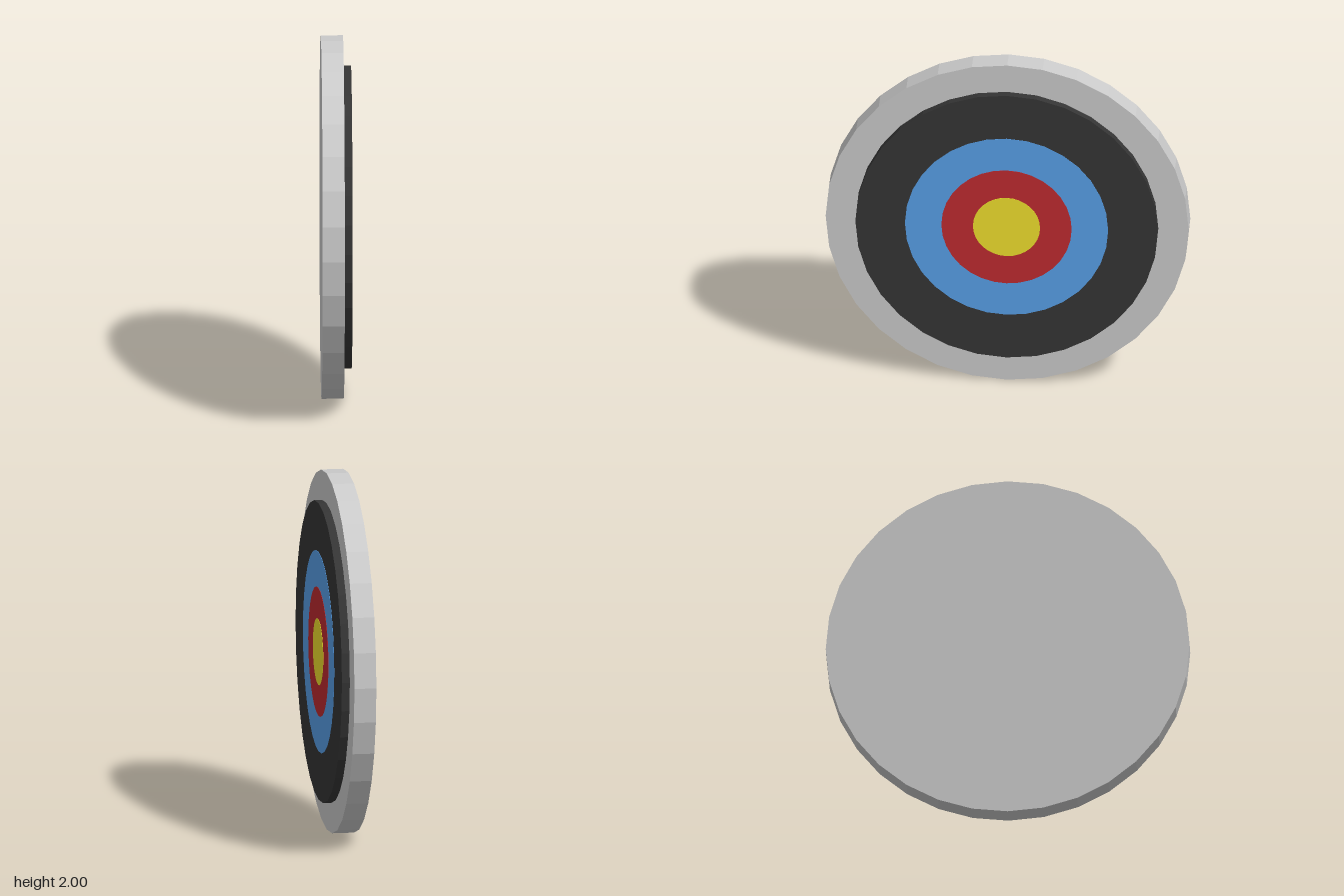
import * as THREE from 'three';

const BACK = -0.085;

// Flat-shaded 32-sided disc facing +x, spanning x0..x1
function disc(name, radius, x0, x1, color) {
  const geometry = new THREE.CylinderGeometry(radius, radius, x1 - x0, 32);
  geometry.rotateZ(-Math.PI / 2);
  const material = new THREE.MeshStandardMaterial({ color, flatShading: true });
  const mesh = new THREE.Mesh(geometry, material);
  mesh.name = name;
  mesh.position.set((x0 + x1) / 2, 1, 0);
  return mesh;
}

export function createModel() {
  const target = new THREE.Group();
  target.name = 'archeryTarget';

  // Backing board
  const boardFront = 0.037;
  target.add(disc('backingBoard', 1, BACK, boardFront, 0xcccccc));

  // Scoring discs, each standing slightly proud of the larger one
  const rings = [
    ['blackRing', 0.833, 0.081, 0x353535],
    ['blueRing', 0.56, 0.0825, 0x58a0e9],
    ['redRing', 0.359, 0.084, 0xbf2b30],
    ['yellowBullseye', 0.185, 0.0855, 0xf0e02d],
  ];
  for (const [name, radius, front, color] of rings) {
    target.add(disc(name, radius, boardFront, front, color));
  }
  return target;
}
